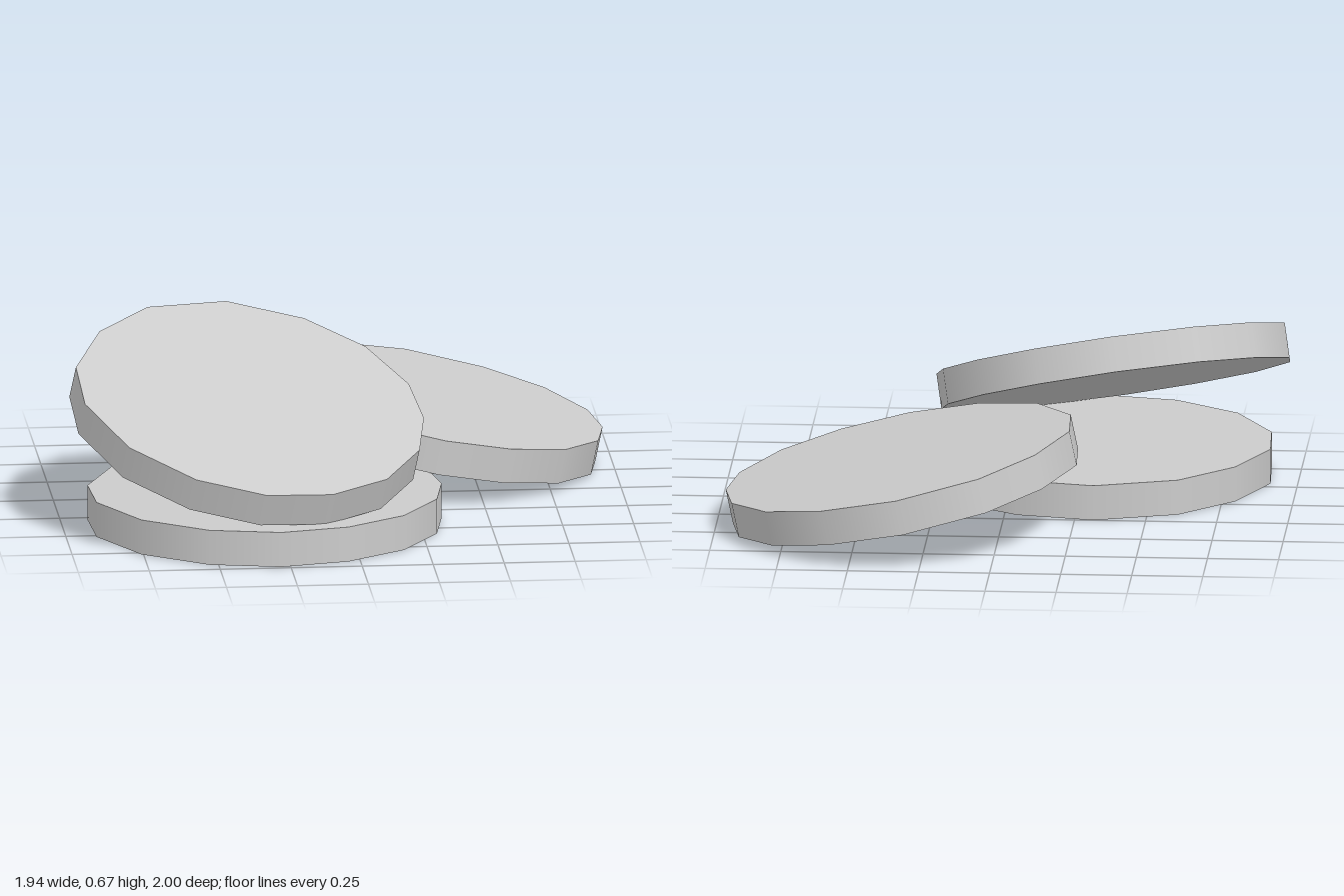
import * as THREE from 'three';

const THICKNESS = 0.125;

// Slightly uneven 15-sided outline [x, z], from the front edge round by the +x side
const OUTLINE = [
  [0.006, 0.625], [0.247, 0.571], [0.454, 0.43], [0.59, 0.214], [0.625, 0],
  [0.59, -0.214], [0.454, -0.43], [0.247, -0.571], [-0.027, -0.627], [-0.318, -0.531],
  [-0.507, -0.336], [-0.615, -0.083], [-0.604, 0.154], [-0.468, 0.41], [-0.243, 0.573],
];

// Disc with its top face at local y = 0, flat caps and a smooth rim
function discGeometry() {
  const n = OUTLINE.length;
  const geometry = new THREE.CylinderGeometry(1, 1, THICKNESS, n);
  geometry.translate(0, -THICKNESS / 2, 0);
  const pos = geometry.attributes.position;
  const normal = geometry.attributes.normal;
  for (let i = 0; i < pos.count; i++) {
    const x = pos.getX(i), z = pos.getZ(i);
    if (Math.hypot(x, z) < 0.5) continue; // cap centres stay put
    const k = (Math.round(Math.atan2(x, z) / (2 * Math.PI / n)) + n) % n;
    const [px, pz] = OUTLINE[k];
    pos.setX(i, px);
    pos.setZ(i, pz);
    if (Math.abs(normal.getY(i)) < 0.5) {
      const r = Math.hypot(px, pz);
      normal.setXYZ(i, px / r, 0, pz / r);
    }
  }
  return geometry;
}

export function createModel() {
  const model = new THREE.Group();
  model.name = 'discPile';
  const geometry = discGeometry();
  const material = new THREE.MeshStandardMaterial({ color: 0xcccccc });

  // Name, centre of the top face, tilt
  const discs = [
    ['flatDisc', [-0.29, 0.133, 0.37], [0, 0, 0]],
    ['leaningDisc', [0.356, 0.256, -0.374], [0, 0, -0.206]],
    ['topDisc', [-0.343, 0.461, 0.391], [0.317, 0.006, -0.159]],
  ];
  for (const [name, position, rotation] of discs) {
    const disc = new THREE.Mesh(geometry, material);
    disc.name = name;
    disc.position.set(...position);
    disc.rotation.set(...rotation);
    model.add(disc);
  }
  return model;
}
